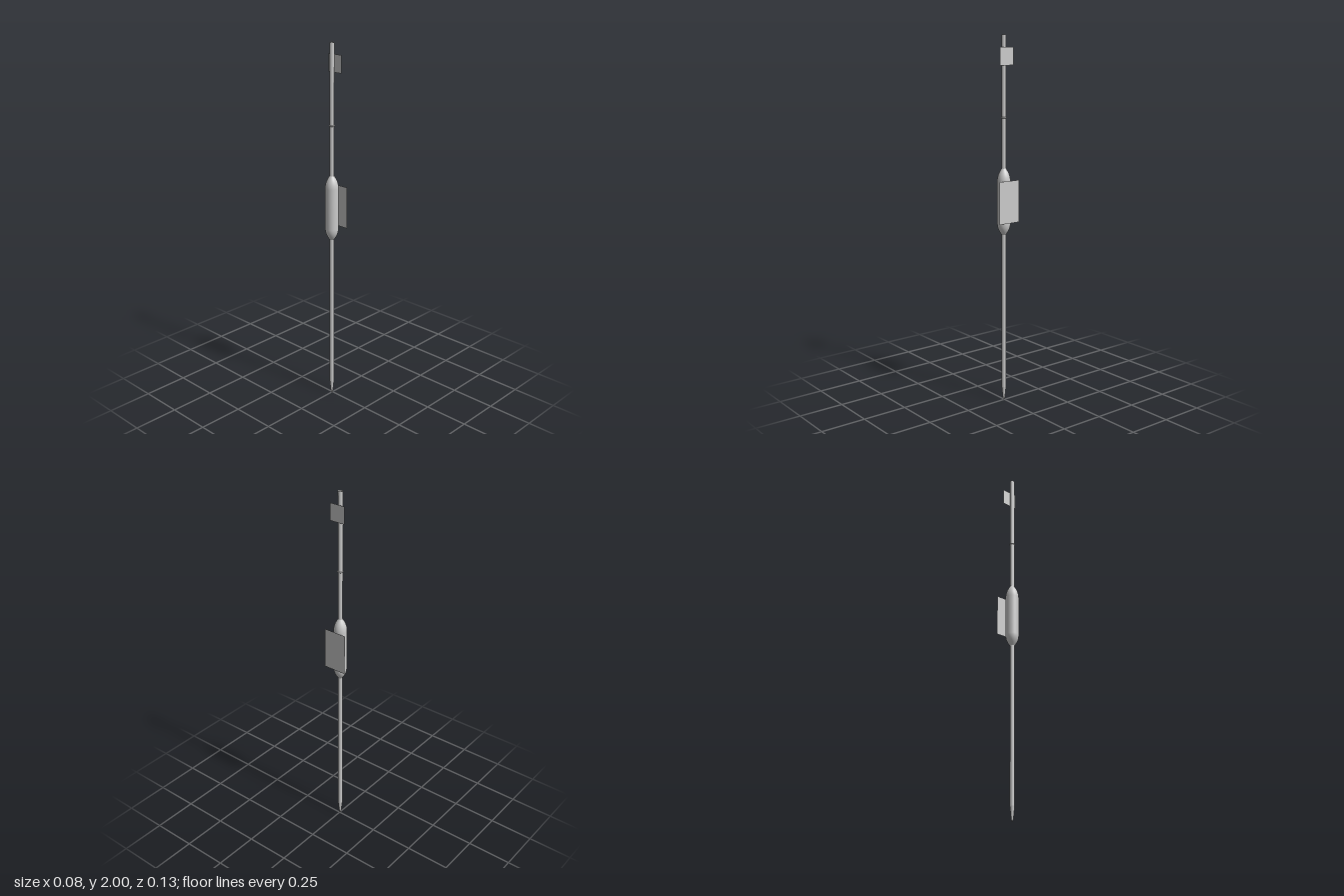
import * as THREE from 'three';

const AXIS_X = -0.005;
const POLE_R = 0.0125;
const BODY_R = 0.0365;

export function createModel() {
  const group = new THREE.Group();
  const material = new THREE.MeshStandardMaterial({ color: 0xcccccc, side: THREE.DoubleSide });

  const add = (name, geometry, x, y) => {
    const mesh = new THREE.Mesh(geometry, material);
    mesh.name = name;
    mesh.position.set(x, y, 0);
    group.add(mesh);
  };
  const lathe = (points) =>
    new THREE.LatheGeometry(points.map(([r, y]) => new THREE.Vector2(r, y)), 32);

  // Hollow pole, open at the top, in two lengths that meet the float
  add('lowerPole', lathe([[POLE_R, 0.075], [POLE_R, 0.955]]), AXIS_X, 0);
  add('upperPole', lathe([[POLE_R, 1.295], [POLE_R, 2]]), AXIS_X, 0);

  // Tapered foot with a small flat end
  add('tip', lathe([[0.0055, 0.008], [0.0075, 0.025], [0.0105, 0.058], [POLE_R, 0.075]]), AXIS_X, 0);
  add('tipEnd', lathe([[0, 0], [0.004, 0], [0.0055, 0.008]]), AXIS_X, 0);

  // Float: straight middle with an ogive shoulder at each end
  const shoulder = [[POLE_R, 0], [0.015, 0.005], [0.022, 0.016], [0.029, 0.031], [0.034, 0.048], [BODY_R, 0.07]];
  const profile = [
    ...shoulder.map(([r, d]) => [r, 0.945 + d * 0.9]),
    ...shoulder.map(([r, d]) => [r, 1.304 - d]).reverse(),
  ];
  add('float', lathe(profile), AXIS_X, 0);

  // Thin collar on the upper pole
  const collar = new THREE.TorusGeometry(0.0125, 0.0035, 10, 32).rotateX(Math.PI / 2);
  add('collar', collar, AXIS_X, 1.574);

  // Flat label plates standing off the +x side
  const plate = (w, h) => new THREE.PlaneGeometry(w, h).rotateY(Math.PI / 2);
  add('floatPlate', plate(0.134, 0.229), 0.0415, 1.127);
  add('topPlate', plate(0.09, 0.092), 0.019, 1.891);

  return group;
}
